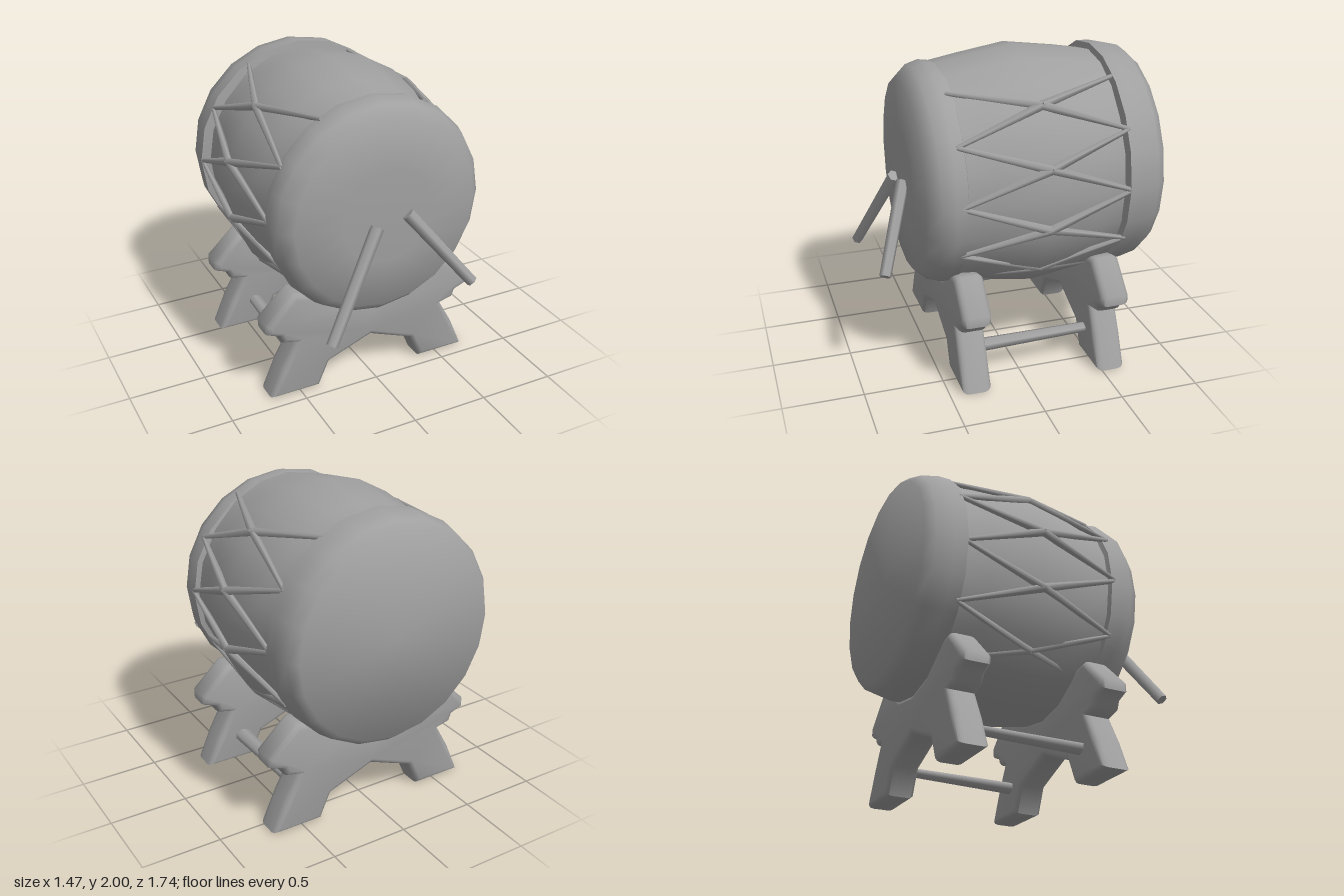
import * as THREE from 'three';
import { toCreasedNormals } from 'three/addons/utils/BufferGeometryUtils.js';

const CY = 1.22; // height of the drum axis
const V = (x, y, z) => new THREE.Vector3(x, y, z);

export function createModel() {
  const model = new THREE.Group();
  const grey = new THREE.MeshStandardMaterial({ color: 0xa0a0a0 });
  grey.name = 'plain grey';

  const add = (name, geometry, parent = model) => {
    const mesh = new THREE.Mesh(geometry, grey);
    mesh.name = name;
    parent.add(mesh);
    return mesh;
  };

  // Profile of [radius, z] points from back to front, turned about the z axis
  const turned = (points, sx, cy) => {
    const g = new THREE.LatheGeometry(points.map(([r, z]) => new THREE.Vector2(r, z)), 20);
    g.rotateX(Math.PI / 2);
    g.scale(sx, 1, 1);
    g.translate(0, cy, 0);
    return toCreasedNormals(g, 1);
  };

  // Tapered bar between two points
  const bar = (name, a, b, ra, rb, sides, parent) => {
    const g = new THREE.CylinderGeometry(rb, ra, a.distanceTo(b), sides);
    const mesh = add(name, g, parent);
    mesh.position.copy(a).add(b).multiplyScalar(0.5);
    mesh.quaternion.setFromUnitVectors(V(0, 1, 0), b.clone().sub(a).normalize());
    return mesh;
  };

  // Drum: barrel body with a rounded skin over each end
  const drum = new THREE.Group();
  drum.name = 'drum';
  model.add(drum);
  add('barrel', turned([[0.69, -0.68], [0.73, -0.45], [0.775, -0.12], [0.725, 0.2], [0.68, 0.45]], 0.935, CY), drum);
  add('frontSkin', turned([[0.66, 0.36], [0.69, 0.37], [0.7, 0.44], [0.675, 0.52], [0.6, 0.6], [0.3, 0.615], [0, 0.625]], 1, CY), drum);
  add('backSkin', turned([[0, -0.87], [0.65, -0.865], [0.695, -0.81], [0.72, -0.7], [0.72, -0.62], [0.66, -0.61]], 1, CY + 0.02), drum);

  // Crossing ropes laced along both flanks of the barrel
  const ropes = new THREE.Group();
  ropes.name = 'ropes';
  model.add(ropes);
  const step = Math.PI / 6;
  for (const side of [1, -1]) {
    const onFlank = (k, r, z) => V(side * Math.cos(k * step) * r, CY + 0.015 + Math.sin(k * step) * r, z);
    for (let k = -2; k < 2; k++) {
      const middle = onFlank(k + 0.5, 0.735, -0.12);
      for (const end of [k, k + 1]) {
        bar('frontRope', onFlank(end, 0.68, 0.41), middle, 0.014, 0.028, 5, ropes);
        bar('backRope', middle, onFlank(end, 0.705, -0.64), 0.028, 0.014, 5, ropes);
      }
    }
  }

  // Stand: two splayed frames that cradle the drum
  const half = [
    [0.31, 0.18], [0.38, 0.02], [0.68, 0.02], [0.6, 0.2], [0.5, 0.385],
    [0.6, 0.41], [0.62, 0.46], [0.7, 0.49], [0.7, 0.53], [0.52, 0.7], [0.42, 0.68], [0.22, 0.55],
  ];
  const outline = [
    [0, 0.3], ...half, [0, 0.51],
    ...half.map(([x, y]) => [-x, y]).reverse(),
  ].map(([x, y]) => new THREE.Vector2(x, y));
  const frameShape = new THREE.Shape(outline);
  for (const [name, z] of [['frontFrame', 0.333], ['backFrame', -0.555]]) {
    const g = new THREE.ExtrudeGeometry(frameShape, {
      depth: 0.1, bevelEnabled: true, bevelThickness: 0.043, bevelSize: 0.035, bevelOffset: -0.015, bevelSegments: 3,
    });
    g.translate(0, 0, z - 0.05);
    add(name, toCreasedNormals(g, 1), model);
  }

  // Flattened crossbars tying the frames together
  for (const side of [1, -1]) {
    const crossbar = bar('crossbar', V(side * 0.45, 0.185, 0.28), V(side * 0.45, 0.195, -0.5), 0.04, 0.03, 6, model);
    crossbar.scale.x = 1.4;
  }

  // Two drumsticks leaning on the front skin
  bar('leftDrumstick', V(0.12, 1.22, 0.63), V(0.47, 0.77, 0.83), 0.042, 0.036, 6, model);
  bar('rightDrumstick', V(-0.09, 1.18, 0.64), V(-0.485, 0.59, 0.835), 0.042, 0.036, 6, model);

  return model;
}
